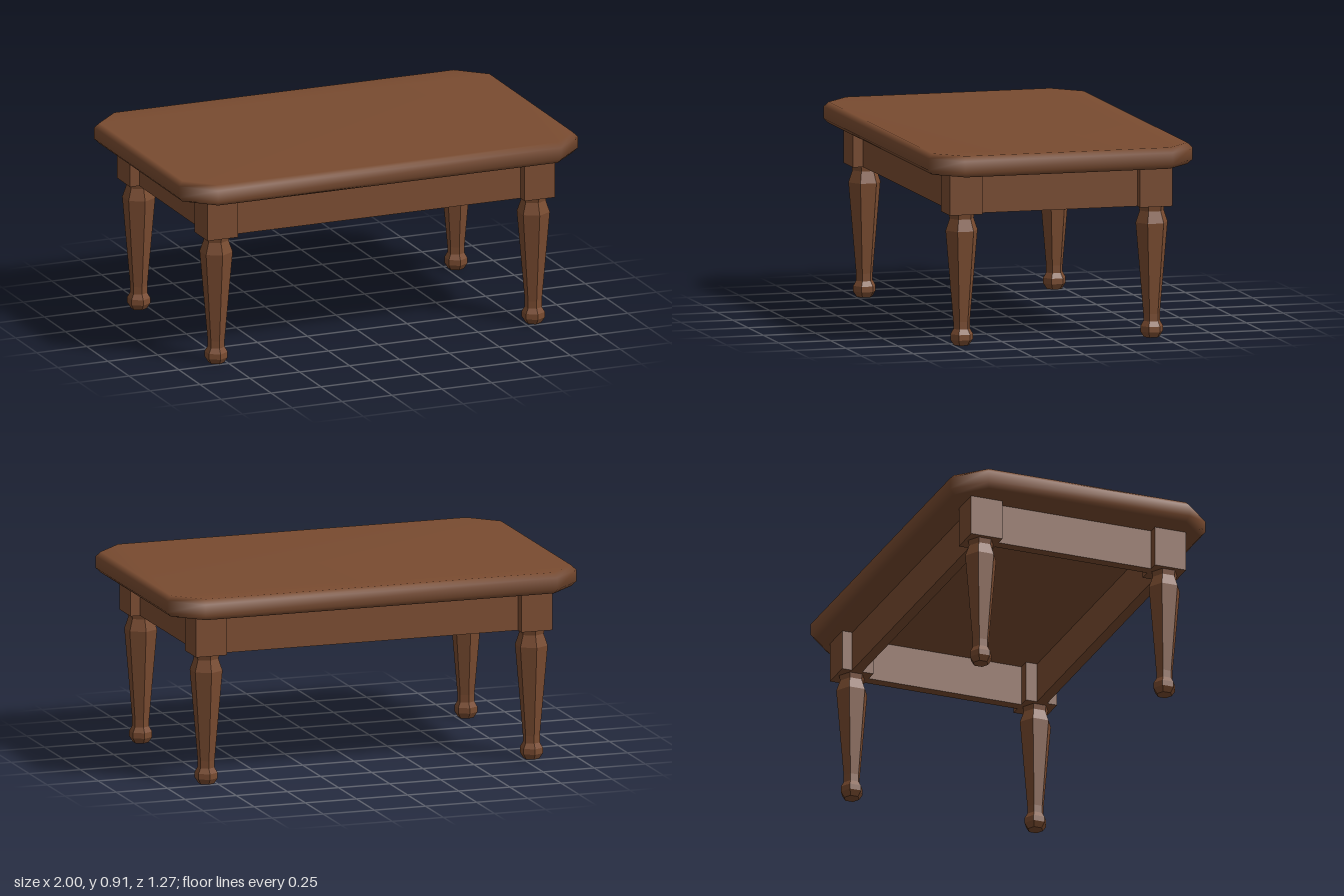
import * as THREE from 'three';

const wood = new THREE.MeshStandardMaterial({ color: 0x794b30 });
wood.name = 'brown wood';
// Faceted variant of the same wood for the low-poly legs
const facetedWood = wood.clone();
facetedWood.flatShading = true;

function add(parent, name, geometry, material, x = 0, y = 0, z = 0) {
  const mesh = new THREE.Mesh(geometry, material);
  mesh.name = name;
  mesh.position.set(x, y, z);
  parent.add(mesh);
  return mesh;
}

// Tabletop outline with clipped corners, inset by d
function outline(d) {
  const k = d * 0.414;
  const [x, z, cx, cz] = [1 - d, 0.635 - d, 0.86 - k, 0.5 - k];
  return [[x, -cz], [x, cz], [cx, z], [-cx, z], [-x, cz], [-x, -cz], [-cx, -z], [cx, -z]];
}

// Softly shaded slab with bevelled rims, made of stacked outlines
function tabletopGeometry() {
  const levels = [[0.812, 0.022], [0.834, 0], [0.889, 0], [0.911, 0.022]];
  const positions = [];
  const indices = [];
  for (const [y, d] of levels) for (const [x, z] of outline(d)) positions.push(x, y, z);
  for (let l = 0; l < 3; l++) {
    for (let i = 0; i < 8; i++) {
      const a = l * 8 + i, b = l * 8 + (i + 1) % 8;
      indices.push(a, a + 8, b, b, a + 8, b + 8);
    }
  }
  for (let i = 1; i < 7; i++) {
    indices.push(0, i, i + 1); // underside
    indices.push(24, 24 + i + 1, 24 + i); // upper side
  }
  const geometry = new THREE.BufferGeometry();
  geometry.setAttribute('position', new THREE.Float32BufferAttribute(positions, 3));
  geometry.setIndex(indices);
  geometry.computeVertexNormals();
  return geometry;
}

export function createModel() {
  const table = new THREE.Group();
  table.name = 'table';
  add(table, 'tabletop', tabletopGeometry(), wood);

  // Six-sided tapered leg with a small ball foot
  const profile = [
    [0, 0.004], [0.037, 0.004], [0.054, 0.03], [0.054, 0.056], [0.04, 0.08],
    [0.04, 0.115], [0.077, 0.54], [0.058, 0.595], [0.063, 0.622],
  ].map(([r, y]) => new THREE.Vector2(r, y));
  const legGeometry = new THREE.LatheGeometry(profile, 6);
  const blockGeometry = new THREE.BoxGeometry(0.152, 0.194, 0.155);
  const legX = 0.795, legZ = 0.457;

  for (const sx of [-1, 1]) {
    for (const sz of [-1, 1]) {
      const corner = new THREE.Group();
      corner.name = (sz > 0 ? 'front' : 'back') + (sx > 0 ? 'Left' : 'Right') + 'Leg';
      corner.position.set(sx * legX, 0, sz * legZ);
      add(corner, 'turnedLeg', legGeometry, facetedWood);
      add(corner, 'cornerBlock', blockGeometry, wood, 0, 0.717, 0);
      table.add(corner);
    }
  }

  // Aprons set back between the corner blocks
  const longApron = new THREE.BoxGeometry(1.46, 0.194, 0.05);
  const shortApron = new THREE.BoxGeometry(0.05, 0.194, 0.78);
  for (const s of [-1, 1]) {
    add(table, s > 0 ? 'frontApron' : 'backApron', longApron, wood, 0, 0.717, s * 0.46);
    add(table, s > 0 ? 'leftApron' : 'rightApron', shortApron, wood, s * 0.8, 0.717, 0);
  }
  return table;
}
